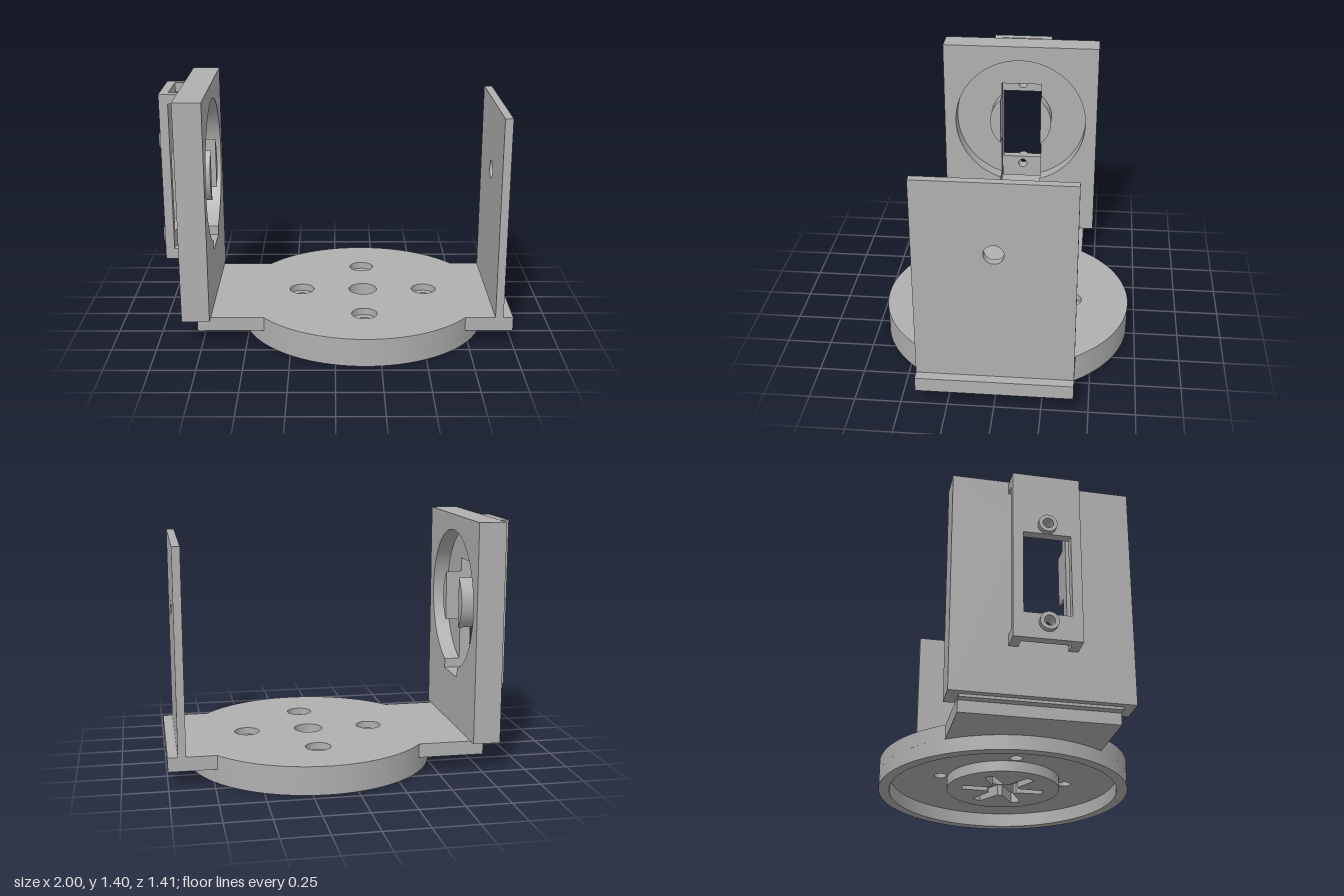
import * as THREE from 'three';
import { toCreasedNormals } from 'three/addons/utils/BufferGeometryUtils.js';

export function createModel() {
  const group = new THREE.Group();
  const grey = new THREE.MeshStandardMaterial({ color: 0xb0b0b0 });
  const CX = 0.165;   // turntable centre
  const AXIS_Y = 0.905; // tilt axis height

  const add = (name, geometry) => {
    const mesh = new THREE.Mesh(geometry, grey);
    mesh.name = name;
    group.add(mesh);
  };
  const extrude = (shape, depth) => toCreasedNormals(
    new THREE.ExtrudeGeometry(shape, { depth, bevelEnabled: false, curveSegments: 48 }), 0.5);
  // Horizontal slab between two heights
  const slab = (name, shape, y0, y1) =>
    add(name, extrude(shape, y1 - y0).rotateX(-Math.PI / 2).translate(0, y0, 0));
  // Upright plate between two x positions
  const plate = (name, shape, x0, x1) =>
    add(name, extrude(shape, x1 - x0).rotateY(Math.PI / 2).translate(x0, 0, 0));
  const box = (name, x0, x1, y0, y1, z0, z1) =>
    add(name, new THREE.BoxGeometry(x1 - x0, y1 - y0, z1 - z0)
      .translate((x0 + x1) / 2, (y0 + y1) / 2, (z0 + z1) / 2));
  const circle = (x, y, r, Type = THREE.Path) => new Type().absarc(x, y, r, 0, Math.PI * 2, false);
  const rect = (x0, x1, y0, y1, Type = THREE.Path) => {
    const p = new Type();
    p.moveTo(x0, y0).lineTo(x1, y0).lineTo(x1, y1).lineTo(x0, y1).closePath();
    return p;
  };

  // Base: disc merged with two arms, counterbored holes
  const R = 0.705, W = 0.42, a = Math.asin(W / R);
  const baseShape = (holeRadius) => {
    const s = new THREE.Shape();
    s.moveTo(1, -W).lineTo(1, W);
    s.absarc(CX, 0, R, a, Math.PI - a, false);
    s.lineTo(-0.775, W).lineTo(-0.775, -W);
    s.absarc(CX, 0, R, Math.PI + a, 2 * Math.PI - a, false);
    s.closePath();
    s.holes.push(circle(CX, 0, 0.082));
    for (let i = 0; i < 4; i++) {
      const t = i * Math.PI / 2;
      s.holes.push(circle(CX + 0.362 * Math.cos(t), 0.362 * Math.sin(t), holeRadius));
    }
    return s;
  };
  slab('baseLower', baseShape(0.036), 0.08, 0.12);
  slab('baseUpper', baseShape(0.072), 0.12, 0.16);

  // Rim under the disc
  const rim = circle(CX, 0, R, THREE.Shape);
  rim.holes.push(circle(CX, 0, 0.645));
  slab('baseRim', rim, 0, 0.08);

  // Hub under the disc with a six-armed socket
  const hub = circle(CX, 0, 0.32, THREE.Shape);
  const star = new THREE.Path();
  const hw = 0.034, inner = 0.085, outer = 0.235;
  for (let i = 0; i < 6; i++) {
    const t = Math.PI / 6 + i * Math.PI / 3, c = Math.cos(t), s = Math.sin(t);
    [[inner, -hw], [outer, -hw * 0.8], [outer, hw * 0.8], [inner, hw]].forEach(([u, v], k) => {
      const x = CX + u * c - v * s, y = u * s + v * c;
      if (i === 0 && k === 0) star.moveTo(x, y); else star.lineTo(x, y);
    });
  }
  star.closePath();
  hub.holes.push(star);
  slab('hub', hub, 0.02, 0.08);

  // Thin side plate with pivot hole
  const side = rect(-W, W, 0.16, 1.305, THREE.Shape);
  side.holes.push(circle(0, AXIS_Y, 0.053));
  plate('pivotPlate', side, 0.9, 0.945);

  // Thick motor wall: slotted back layer, round pocket in the front layer
  const SW = 0.126, S0 = 0.46, S1 = 1.13, PR = 0.41;
  const back = rect(-0.48, 0.48, 0.16, 1.405, THREE.Shape);
  back.holes.push(rect(-SW, SW, S0, S1));
  plate('motorWallBack', back, -0.855, -0.79);

  const front = rect(-0.48, 0.48, 0.16, 1.405, THREE.Shape);
  const pocket = new THREE.Path();
  const pa = Math.acos(SW / PR);
  pocket.absarc(0, AXIS_Y, PR, -pa, Math.PI + pa, false);
  pocket.lineTo(-SW, S0).lineTo(SW, S0).closePath();
  front.holes.push(pocket);
  plate('motorWallFront', front, -0.79, -0.7);
  box('wallLip', -0.82, -0.775, 0.145, 0.16, -W, W);

  // Round boss split by the slot
  const BR = 0.193, ba = Math.acos(SW / BR);
  for (const t of [0, Math.PI]) {
    const seg = new THREE.Shape();
    seg.absarc(0, AXIS_Y, BR, t - ba, t + ba, false);
    seg.closePath();
    plate('pocketBoss', seg, -0.79, -0.7);
  }

  // Motor bracket on the outside, on four corner legs
  const screws = [0.515, 1.08];
  const bracket = rect(-0.18, 0.18, 0.425, 1.385, THREE.Shape);
  bracket.holes.push(rect(-SW, SW, 0.565, 1.03));
  for (const y of screws) bracket.holes.push(circle(0, y, 0.028));
  plate('bracketPlate', bracket, -0.97, -0.92);
  for (const [y0, y1] of [[0.425, 0.485], [1.33, 1.385]]) {
    box('bracketLeg', -0.92, -0.855, y0, y1, 0.13, 0.18);
    box('bracketLeg', -0.92, -0.855, y0, y1, -0.18, -0.13);
  }
  for (const y of screws) {
    const ring = circle(0, y, 0.049, THREE.Shape);
    ring.holes.push(circle(0, y, 0.028));
    plate('screwBoss', ring, -1, -0.97);
  }
  return group;
}
